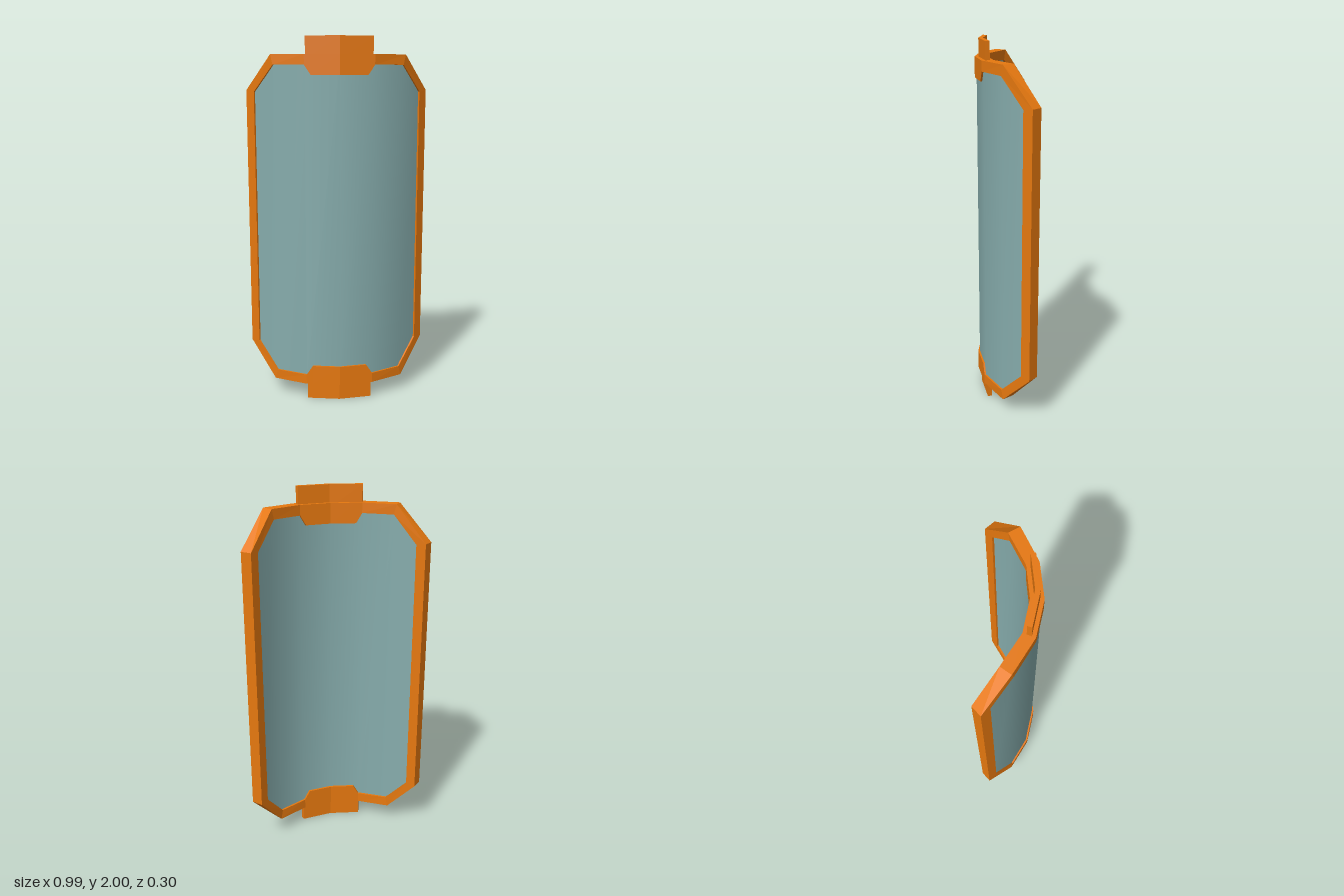
import * as THREE from 'three';
import { toCreasedNormals } from 'three/addons/utils/BufferGeometryUtils.js';

// Plan of the bent shield for x >= 0: front x, front z, back x, back z
const PLAN = [
  [0, 0.15, 0, 0.085],
  [0.185, 0.12, 0.165, 0.06],
  [0.355, 0.03, 0.32, -0.025],
  [0.495, -0.105, 0.45, -0.15],
];
const MID = 1; // height of the horizontal mirror plane

// Bend a flat point (x, y) onto the shield; depth 0 = front, 1 = back
function bend(x, y, depth) {
  const ax = Math.abs(x);
  let i = 0;
  while (i < PLAN.length - 2 && ax > PLAN[i + 1][0]) i++;
  const a = PLAN[i], b = PLAN[i + 1];
  const k = (ax - a[0]) / (b[0] - a[0]);
  const [fx, fz, bx, bz] = a.map((v, n) => v + (b[n] - v) * k);
  const px = fx + (bx - fx) * depth;
  return new THREE.Vector3(Math.sign(x) * px, MID + y, fz + (bz - fz) * depth);
}

// Four-cornered cross-section between two flat points and two depths
function section(upper, lower, d0, d1) {
  return [bend(...upper, d0), bend(...upper, d1), bend(...lower, d1), bend(...lower, d0)];
}

// Join four-cornered sections into a ring (closed) or a capped bar
function loft(sections, closed) {
  const pos = [];
  const quad = (a, b, c, d) => [a, b, c, a, c, d].forEach((p) => pos.push(p.x, p.y, p.z));
  const n = sections.length;
  for (let s = 0; s < (closed ? n : n - 1); s++) {
    const a = sections[s], b = sections[(s + 1) % n];
    for (let i = 0; i < 4; i++) {
      const j = (i + 1) % 4;
      quad(a[i], b[i], b[j], a[j]);
    }
  }
  if (!closed) {
    quad(...sections[0]);
    quad(...[...sections[n - 1]].reverse());
  }
  const g = new THREE.BufferGeometry();
  g.setAttribute('position', new THREE.Float32BufferAttribute(pos, 3));
  g.computeVertexNormals();
  return g;
}

export function createModel() {
  const group = new THREE.Group();
  const orange = new THREE.MeshStandardMaterial({ color: 0xe6780f, flatShading: true });
  const teal = new THREE.MeshStandardMaterial({ color: 0x86acac });
  const add = (name, geometry, material) => {
    const mesh = new THREE.Mesh(geometry, material);
    mesh.name = name;
    group.add(mesh);
  };

  // Frame: outer and inner outline pairs, one quarter, mirrored all round
  const quarter = [
    [[0, 0.907], [0, 0.80]],
    [[0.15, 0.907], [0.15, 0.80]],
    [[0.185, 0.907], [0.185, 0.853]],
    [[0.36, 0.907], [0.348, 0.853]],
    [[0.495, 0.718], [0.453, 0.71]],
  ];
  const flip = (pairs, sx, sy) => pairs.map((pr) => pr.map(([x, y]) => [x * sx, y * sy]));
  const topHalf = [...flip(quarter.slice(1).reverse(), -1, 1), ...quarter];
  const ring = [...topHalf, ...flip(topHalf, -1, -1)];
  add('frame', loft(ring.map(([o, i]) => section(o, i, 0, 1)), true), orange);

  // Curved pane set just inside the frame faces
  const half = [[0, 0.855], [0.185, 0.855], [0.35, 0.855], [0.456, 0.712]];
  const columns = [...half.slice(1).reverse().map(([x, y]) => [-x, y]), ...half];
  const pane = loft(columns.map(([x, y]) => section([x, y], [x, -y], 0.15, 0.82)), false);
  add('pane', toCreasedNormals(pane, 0.7), teal);

  // Mounting tabs above and below
  for (const [name, y0, y1] of [['topTab', 0.88, 1], ['bottomTab', -1, -0.88]]) {
    const bar = [-0.185, 0, 0.185].map((x) => section([x, y1], [x, y0], 0.31, 0.69));
    add(name, loft(bar, false), orange);
  }
  return group;
}
